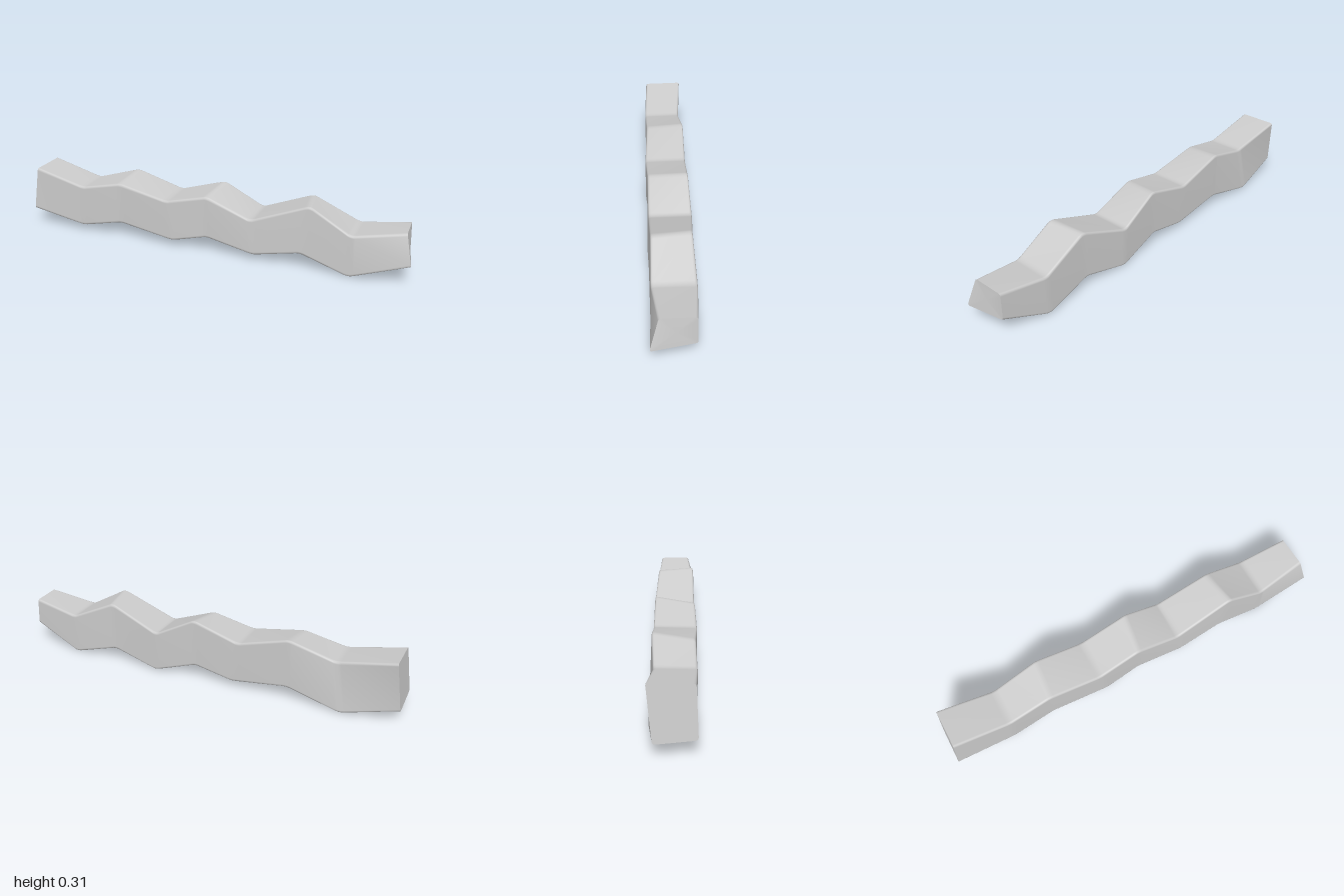
import * as THREE from 'three';

// Stations along the beam; each row holds x, y, z of the corners:
// top front, top back, bottom back, bottom front
const STATIONS = [
  [-0.97, 0.31, 0.09, -0.97, 0.315, -0.105, -1.0, 0.065, -0.08, -1.0, 0.085, 0.1],
  [-0.69, 0.247, 0.1, -0.69, 0.25, -0.085, -0.73, 0.0, -0.108, -0.7, 0.033, 0.1],
  [-0.48, 0.292, 0.095, -0.46, 0.318, -0.1, -0.46, 0.07, -0.1, -0.48, 0.08, 0.095],
  [-0.21, 0.242, 0.105, -0.21, 0.245, -0.1, -0.18, 0.033, -0.1, -0.18, 0.035, 0.106],
  [0.0, 0.292, 0.097, 0.03, 0.318, -0.1, 0.02, 0.075, -0.1, 0.0, 0.08, 0.097],
  [0.23, 0.208, 0.097, 0.23, 0.21, -0.11, 0.24, 0.0, -0.108, 0.25, 0.033, 0.105],
  [0.52, 0.322, 0.092, 0.49, 0.315, -0.095, 0.48, 0.068, -0.1, 0.48, 0.08, 0.1],
  [0.72, 0.207, 0.095, 0.72, 0.208, -0.105, 0.72, 0.0, -0.107, 0.72, 0.0, 0.098],
  [0.965, 0.252, 0.067, 0.96, 0.25, -0.09, 0.965, 0.115, -0.093, 1.0, 0.107, 0.106],
];
const BEND = 0.08;    // share of each span used to round a bend
const RADIUS = 0.013; // rounding of the long edges
const STEPS = 3;

const mix = (a, b, t) => a.map((v, i) => v + (b[i] - v) * t);

// Round every bend with a short quadratic curve
function roundedStations() {
  const out = [STATIONS[0]];
  for (let i = 1; i < STATIONS.length - 1; i++) {
    const p = STATIONS[i];
    const a = mix(p, STATIONS[i - 1], BEND), b = mix(p, STATIONS[i + 1], BEND);
    for (let k = 0; k <= STEPS; k++) {
      const t = k / STEPS;
      out.push(mix(mix(a, p, t), mix(p, b, t), t));
    }
  }
  out.push(STATIONS[STATIONS.length - 1]);
  return out;
}

// Turn four corners into a closed loop with rounded corners
function sectionLoop(row) {
  const c = [0, 1, 2, 3].map((i) => new THREE.Vector3().fromArray(row, i * 3));
  const loop = [];
  c.forEach((p, i) => {
    const towards = (q) => p.clone().add(q.clone().sub(p).setLength(RADIUS));
    const a = towards(c[(i + 3) % 4]), b = towards(c[(i + 1) % 4]);
    const curve = new THREE.QuadraticBezierCurve3(a, p, b);
    loop.push(...curve.getPoints(STEPS));
  });
  return loop;
}

function skin(loops) {
  const n = loops[0].length, index = [];
  for (let i = 0; i < loops.length - 1; i++) {
    for (let j = 0; j < n; j++) {
      const a = i * n + j, b = i * n + (j + 1) % n;
      index.push(a, a + n, b, b, a + n, b + n);
    }
  }
  const geo = new THREE.BufferGeometry().setFromPoints(loops.flat());
  geo.setIndex(index);
  geo.computeVertexNormals();
  return geo;
}

// Fan that closes one end of the beam
function cap(loop, flip) {
  const n = loop.length, index = [];
  const centre = loop.reduce((s, p) => s.add(p), new THREE.Vector3()).divideScalar(n);
  for (let j = 0; j < n; j++) {
    const k = (j + 1) % n;
    index.push(n, ...(flip ? [j, k] : [k, j]));
  }
  const geo = new THREE.BufferGeometry().setFromPoints([...loop, centre]);
  geo.setIndex(index);
  geo.computeVertexNormals();
  return geo;
}

export function createModel() {
  const group = new THREE.Group();
  group.name = 'zigzagBeam';
  const material = new THREE.MeshStandardMaterial({ color: 0xcccccc });
  const loops = roundedStations().map(sectionLoop);
  const add = (name, geometry) => {
    const mesh = new THREE.Mesh(geometry, material);
    mesh.name = name;
    group.add(mesh);
  };
  add('beamSides', skin(loops));
  // Loops run anticlockwise seen from -x
  add('rightEnd', cap(loops[0], true));
  add('leftEnd', cap(loops[loops.length - 1], false));
  return group;
}
